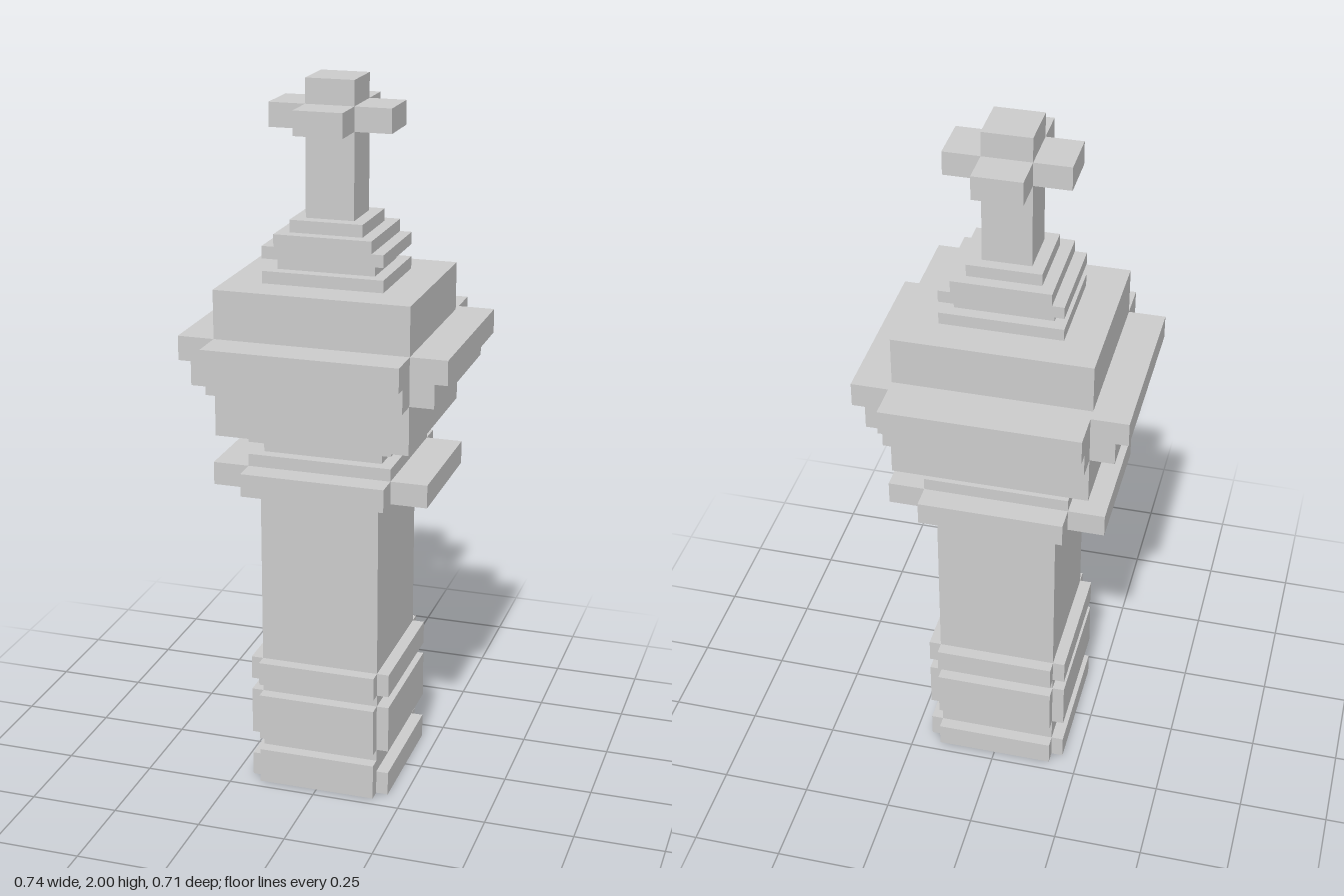
import * as THREE from 'three';

const material = new THREE.MeshStandardMaterial({ color: 0xcccccc, flatShading: true });

export function createModel() {
  const group = new THREE.Group();

  const add = (name, geometry) => {
    const mesh = new THREE.Mesh(geometry, material);
    mesh.name = name;
    group.add(mesh);
    return mesh;
  };

  // Square block given by half width, back and front z, bottom and top y
  const block = (name, x, z0, z1, y0, y1) =>
    add(name, new THREE.BoxGeometry(2 * x, y1 - y0, z1 - z0))
      .position.set(0, (y0 + y1) / 2, (z0 + z1) / 2);

  // Slab with notched corners: core (x, z0..z1), wings to xo sideways and to zo0..zo1 in depth
  const cross = (name, x, xo, z0, z1, zo0, zo1, y0, y1) => {
    const outline = [
      [x, zo0], [x, z0], [xo, z0], [xo, z1], [x, z1], [x, zo1],
      [-x, zo1], [-x, z1], [-xo, z1], [-xo, z0], [-x, z0], [-x, zo0],
    ].map(([px, pz]) => new THREE.Vector2(px, -pz));
    const geometry = new THREE.ExtrudeGeometry(new THREE.Shape(outline), { depth: y1 - y0, bevelEnabled: false });
    geometry.rotateX(-Math.PI / 2).translate(0, y0, 0);
    add(name, geometry);
  };

  // Shaft with three raised bands
  block('shaft', 0.168, -0.185, 0.185, 0, 0.89);
  [['baseBand', 0, 0.068], ['middleBand', 0.137, 0.273], ['upperBand', 0.307, 0.374]].forEach(([name, y0, y1]) =>
    cross(name, 0.168, 0.202, -0.185, 0.185, -0.22, 0.22, y0, y1));
  block('baseFrontPlate', 0.168, 0.18, 0.22, 0, 0.102);

  // Collar and neck
  cross('collar', 0.202, 0.304, -0.185, 0.185, -0.253, 0.253, 0.885, 0.95);
  block('collarTop', 0.202, -0.185, 0.185, 0.95, 0.985);
  block('neck', 0.168, -0.152, 0.152, 0.985, 1.02);
  block('neckTop', 0.202, -0.185, 0.185, 1.02, 1.054);

  // Head with two projecting rings
  block('headLower', 0.27, -0.253, 0.253, 1.054, 1.19);
  cross('headRingLower', 0.27, 0.337, -0.253, 0.253, -0.32, 0.32, 1.19, 1.257);
  cross('headRingUpper', 0.27, 0.372, -0.255, 0.253, -0.357, 0.355, 1.257, 1.325);
  block('headUpper', 0.27, -0.221, 0.253, 1.325, 1.46);

  // Stepped cap: half width, back z, front z
  [
    [0.168, -0.119, 0.152],
    [0.135, -0.085, 0.119],
    [0.168, -0.119, 0.152],
    [0.135, -0.119, 0.152],
    [0.101, -0.085, 0.119],
  ].forEach(([x, z0, z1], i) => block('capStep', x, z0, z1, 1.46 + i * 0.034, 1.494 + i * 0.034));

  // Finial post with four short arms
  block('finialPost', 0.067, -0.052, 0.084, 1.63, 2);
  cross('finialArms', 0.067, 0.168, -0.052, 0.084, -0.154, 0.186, 1.866, 1.932);

  return group;
}
